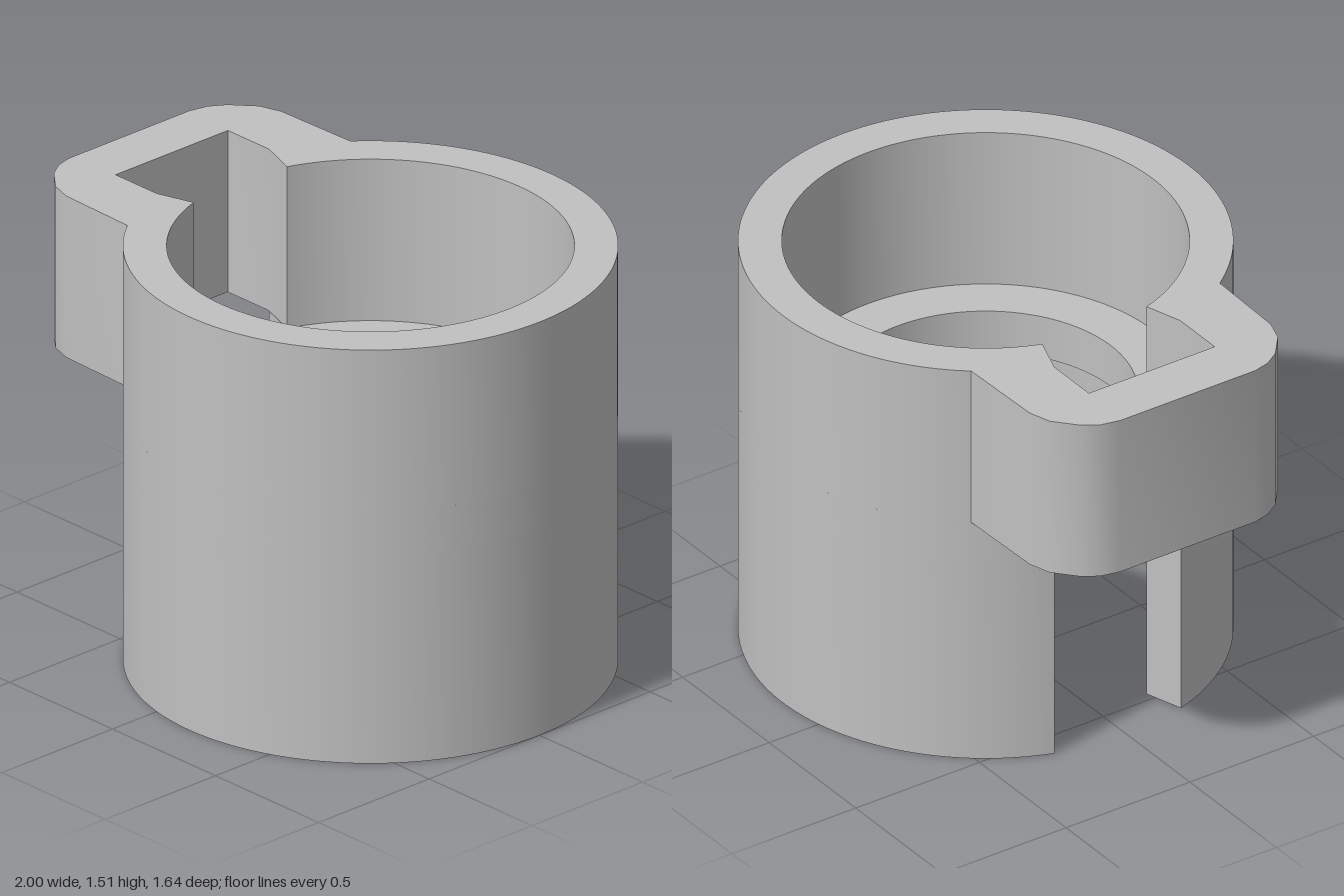
import * as THREE from 'three';
import { toCreasedNormals } from 'three/addons/utils/BufferGeometryUtils.js';

const CX = 0.18; // centre of the sleeve
const OUTER = 0.82, BORE = 0.675, LIP = 0.505;
const SLOT_START = -2.843, SLOT_END = 2.813; // radial faces of the slot
const LEDGE_BOTTOM = 0.76, LEDGE_TOP = 0.92, HEIGHT = 1.51;

// Split ring, open towards -x
function splitRing(outer, inner) {
  const s = new THREE.Shape();
  s.absarc(CX, 0, outer, SLOT_START, SLOT_END, false);
  s.absarc(CX, 0, inner, SLOT_END, SLOT_START, true);
  s.closePath();
  return s;
}

// Closed collar: ring and rounded side loop in one outline, keyhole inside
function collarShape() {
  const s = new THREE.Shape();
  s.absarc(CX, 0, OUTER, -2.513, 2.473, false);
  [[-0.79, 0.5], [-0.87, 0.475], [-0.95, 0.405], [-0.985, 0.35], [-1, 0.28],
    [-1, -0.265], [-0.985, -0.325], [-0.95, -0.38], [-0.87, -0.447], [-0.79, -0.473],
  ].forEach(([x, y]) => s.lineTo(x, y));
  s.closePath();

  const hole = new THREE.Path();
  hole.absarc(CX, 0, BORE, SLOT_START, SLOT_END, false);
  [[-0.6, 0.268], [-0.8, 0.268], [-0.8, -0.24], [-0.6, -0.24]].forEach(([x, y]) => hole.lineTo(x, y));
  hole.closePath();
  s.holes.push(hole);
  return s;
}

export function createModel() {
  const group = new THREE.Group();
  group.name = 'splitSleeve';
  const grey = new THREE.MeshStandardMaterial({ color: 0xc0c0c0 });
  grey.name = 'plainGrey';

  // Extrude a plan outline upwards between two heights
  function slab(name, shape, y0, y1) {
    const geo = new THREE.ExtrudeGeometry(shape, { depth: y1 - y0, bevelEnabled: false, curveSegments: 96 });
    geo.rotateX(-Math.PI / 2);
    geo.translate(0, y0, 0);
    const mesh = new THREE.Mesh(toCreasedNormals(geo, 0.55), grey);
    mesh.name = name;
    group.add(mesh);
  }

  slab('lowerSleeve', splitRing(OUTER, BORE), 0, LEDGE_BOTTOM);
  slab('innerLedge', splitRing(OUTER, LIP), LEDGE_BOTTOM, LEDGE_TOP);
  slab('upperCollarWithLoop', collarShape(), LEDGE_TOP, HEIGHT);
  return group;
}
